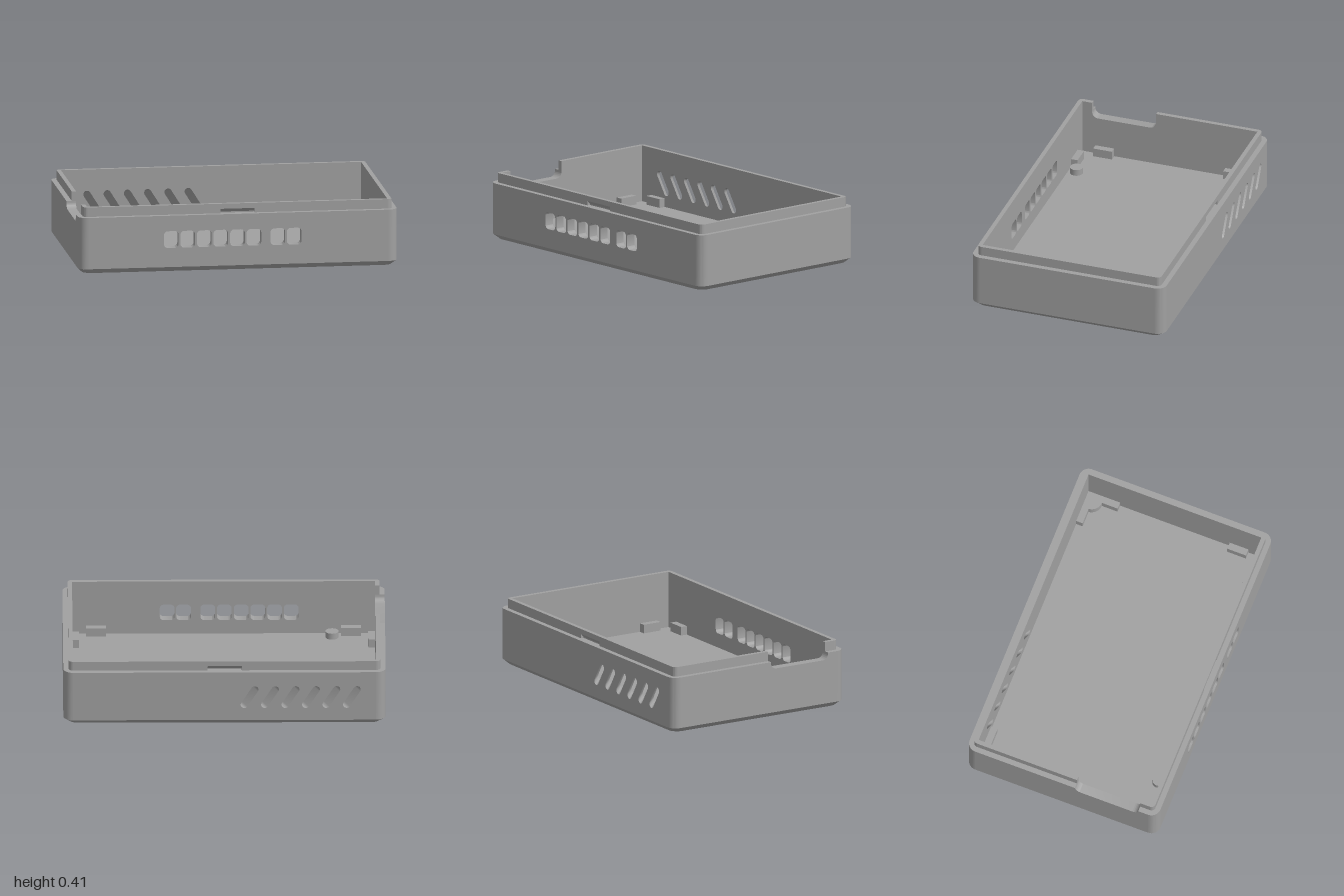
import * as THREE from 'three';
import { toCreasedNormals } from 'three/addons/utils/BufferGeometryUtils.js';

const OX = 1, OZ = 0.635;          // outer half sizes
const IX = 0.94, IZ = 0.575;       // inner half sizes
const LIP = 0.027;                 // lip thickness
const Y0 = 0.03, FLOOR = 0.06, Y1 = 0.355, Y2 = 0.415; // chamfer, floor, ledge, rim

const grey = new THREE.MeshStandardMaterial({ color: 0xa0a0a0, side: THREE.DoubleSide });
grey.name = 'grey plastic';

export function createModel() {
  const model = new THREE.Group();
  model.name = 'enclosureBase';

  const add = (name, geo, parent = model) => {
    const mesh = new THREE.Mesh(toCreasedNormals(geo, 0.5), grey);
    mesh.name = name;
    parent.add(mesh);
    return mesh;
  };
  const box = (name, x0, x1, y0, y1, z0, z1, parent) => add(name,
    new THREE.BoxGeometry(x1 - x0, y1 - y0, z1 - z0)
      .translate((x0 + x1) / 2, (y0 + y1) / 2, (z0 + z1) / 2), parent);
  const extrude = (shape, depth) =>
    new THREE.ExtrudeGeometry(shape, { depth, bevelEnabled: false, curveSegments: 10 });
  const poly = pts => new THREE.Shape(pts.map(p => new THREE.Vector2(...p)));
  const rect = (x0, x1, y0, y1) => poly([[x0, y0], [x1, y0], [x1, y1], [x0, y1]]);
  const rounded = (cx, cy, hx, hy, r, P = THREE.Shape) => {
    const s = new P();
    s.absarc(cx + hx - r, cy + hy - r, r, 0, Math.PI / 2);
    s.absarc(cx - hx + r, cy + hy - r, r, Math.PI / 2, Math.PI);
    s.absarc(cx - hx + r, cy - hy + r, r, Math.PI, Math.PI * 1.5);
    s.absarc(cx + hx - r, cy - hy + r, r, Math.PI * 1.5, Math.PI * 2);
    s.closePath();
    return s;
  };

  // Chamfered bottom: the lowest ring is drawn inwards
  const base = extrude(rounded(0, 0, OX, OZ, OX - IX), Y0).rotateX(-Math.PI / 2);
  const p = base.attributes.position;
  for (let i = 0; i < p.count; i++) {
    if (p.getY(i) > 0.001) continue;
    p.setX(i, p.getX(i) - Math.sign(p.getX(i)) * 0.03);
    p.setZ(i, p.getZ(i) - Math.sign(p.getZ(i)) * 0.03);
  }
  add('chamferedBottom', base);
  box('floor', -IX, IX, Y0, FLOOR, -IZ, IZ);

  // Rounded corners of the body and of the lip
  [[1, 1], [1, -1], [-1, -1], [-1, 1]].forEach(([sx, sz], i) => {
    for (const [name, r, a, b] of [['bodyCorner', OX - IX, Y0, Y1], ['lipCorner', LIP, Y1, Y2]])
      add(name, new THREE.CylinderGeometry(r, r, b - a, 10, 1, false, i * Math.PI / 2, Math.PI / 2)
        .translate(sx * IX, (a + b) / 2, sz * IZ));
  });

  // Front wall with a row of rounded windows
  const front = rect(-IX, IX, Y0, Y1);
  for (const x of [-0.42, -0.317, -0.213, -0.11, -0.005, 0.098, 0.248, 0.35])
    front.holes.push(rounded(x, 0.204, 0.046, 0.053, 0.025, THREE.Path));
  add('frontWall', extrude(front, OZ - IZ).translate(0, 0, IZ));

  // Back wall with slanted vents that also lean sideways through the wall
  const ventLoop = (i, dx, dy) => {
    const pts = [], tilt = 0.56, r = 0.023, half = 0.061, n = 8;
    for (let k = 0; k < 2 * (n + 1); k++) {
      const top = k <= n;
      const a = Math.PI * (top ? k : k - 1) / n;
      const u = r * Math.cos(a), v = r * Math.sin(a) + (top ? half : -half);
      pts.push(new THREE.Vector2(
        -0.745 + 0.127 * i + dx + u * Math.cos(tilt) - v * Math.sin(tilt),
        0.206 + dy + u * Math.sin(tilt) + v * Math.cos(tilt)));
    }
    return pts;
  };
  const YV = 0.3;
  const inner = rect(-IX, IX, Y0, YV), outer = rect(-IX, IX, Y0, YV);
  for (let i = 0; i < 6; i++) {
    const a = ventLoop(i, 0, 0), b = ventLoop(i, -0.045, -0.02), pos = [], idx = [];
    inner.holes.push(new THREE.Path(a));
    outer.holes.push(new THREE.Path(b));
    a.forEach((q, k) => {
      const m = a.length, j = (k + 1) % m;
      pos.push(q.x, q.y, -IZ, b[k].x, b[k].y, -OZ);
      idx.push(2 * k, 2 * j, 2 * k + 1, 2 * j, 2 * j + 1, 2 * k + 1);
    });
    const tube = new THREE.BufferGeometry();
    tube.setAttribute('position', new THREE.Float32BufferAttribute(pos, 3));
    tube.setIndex(idx);
    add('ventLining', tube);
  }
  add('backWallInside', new THREE.ShapeGeometry(inner).translate(0, 0, -IZ));
  const outside = new THREE.ShapeGeometry(outer).translate(0, 0, -OZ);
  const order = outside.index.array;
  for (let i = 0; i < order.length; i += 3) [order[i], order[i + 1]] = [order[i + 1], order[i]];
  add('backWallOutside', outside);
  box('backWallTop', -IX, IX, YV, Y1, -OZ, -IZ);

  // Plain wall on the left, cable notch on the right
  box('leftWall', IX, OX, Y0, Y1, -IZ, IZ);
  box('leftLip', IX, IX + LIP, Y1, Y2, -IZ, IZ);
  const n0 = 0.09, n1 = 0.51, nr = 0.04, nb = 0.31;
  const side = new THREE.Shape();
  side.moveTo(-IZ, Y0);
  side.lineTo(IZ, Y0);
  side.lineTo(IZ, Y1);
  side.lineTo(n1, Y1);
  side.absarc(n1 - nr, nb + nr, nr, 0, -Math.PI / 2, true);
  side.absarc(n0 + nr, nb + nr, nr, -Math.PI / 2, -Math.PI, true);
  side.lineTo(n0, Y1);
  side.lineTo(-IZ, Y1);
  add('rightWall', extrude(side, OX - IX).rotateY(-Math.PI / 2).translate(-IX, 0, 0));
  box('rightLip', -IX - LIP, -IX, Y1, Y2, -IZ, n0);
  box('rightLip', -IX - LIP, -IX, Y1, Y2, n1, IZ);

  // Front and back lips, each with a snap groove in the middle
  const lip = new THREE.Group();
  lip.name = 'frontLip';
  const g = 0.107, zo = IZ + LIP;
  box('lipSide', -IX, -g, Y1, Y2, IZ, zo, lip);
  box('lipSide', g, IX, Y1, Y2, IZ, zo, lip);
  const groove = poly([[IZ, Y1], [IZ + 0.008, Y1], [IZ + 0.008, 0.362], [zo, 0.383], [zo, Y2], [IZ, Y2]]);
  add('snapGroove', extrude(groove, 2 * g).rotateY(-Math.PI / 2).translate(g, 0, 0), lip);
  const backLip = lip.clone();
  backLip.name = 'backLip';
  backLip.rotation.y = Math.PI;
  model.add(lip, backLip);

  // Locating tabs around the floor
  const T = 0.115, t = 0.043;
  for (const s of [-1, 1]) {
    const x = s * 0.79, xw = s * (IX - t / 2);
    for (const sz of [-1, 1]) {
      const zw = sz * (IZ - t / 2), z = sz * 0.427;
      box('locatingTab', x - 0.062, x + 0.062, FLOOR, T, zw - t / 2, zw + t / 2);
      box('locatingTab', xw - t / 2, xw + t / 2, FLOOR, T, z - 0.062, z + 0.062);
    }
  }

  // Corner support joining two tabs, and a small post
  const corner = poly([[0.83, -IZ], [IX, -IZ], [IX, -0.47], [0.897, -0.47]]);
  corner.absarc(0.897, -0.537, 0.067, Math.PI / 2, Math.PI);
  add('cornerSupport', extrude(corner, T - FLOOR).rotateX(Math.PI / 2).translate(0, T, 0));
  add('post', new THREE.CylinderGeometry(0.041, 0.041, 0.04, 24).translate(-0.673, FLOOR + 0.02, 0.52));

  return model;
}
